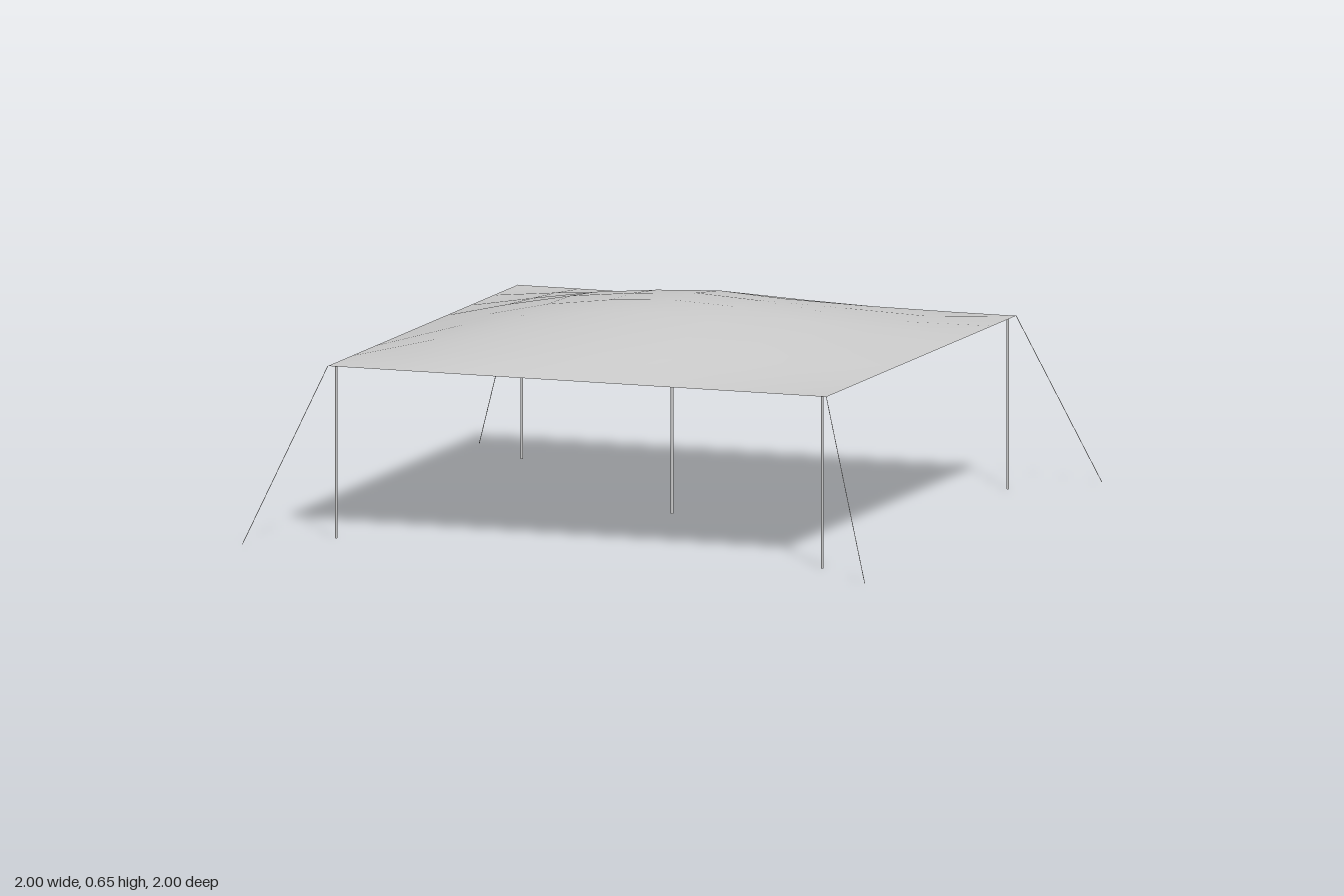
import * as THREE from 'three';

const HALF = 0.8;      // half width of the canopy
const EDGE_Y = 0.525;  // height of the canopy rim
const RISE = 0.125;    // extra height at the middle

const grey = new THREE.MeshStandardMaterial({ color: 0xcccccc });
const cloth = new THREE.MeshStandardMaterial({ color: 0xcccccc, side: THREE.DoubleSide });

// Sagging dome that meets the rim level, with faint wrinkles in the cloth
function canopyHeight(x, z) {
  const dome = Math.cos((Math.PI * x) / (2 * HALF)) * Math.cos((Math.PI * z) / (2 * HALF));
  const inside = Math.min(1, (HALF - Math.max(Math.abs(x), Math.abs(z))) * 5);
  const centre = Math.min(1, Math.hypot(x, z) * 5);
  const wrinkle = 0.004 * Math.sin(9 * x + 5 * z + 1) * Math.cos(7 * z - 4 * x);
  return EDGE_Y + RISE * dome + wrinkle * inside * centre;
}

function makeCanopy() {
  const geometry = new THREE.PlaneGeometry(2 * HALF, 2 * HALF, 8, 8).rotateX(-Math.PI / 2);
  const p = geometry.attributes.position;
  for (let i = 0; i < p.count; i++) p.setY(i, canopyHeight(p.getX(i), p.getZ(i)));
  geometry.computeVertexNormals();
  const mesh = new THREE.Mesh(geometry, cloth);
  mesh.name = 'canopy';
  return mesh;
}

// Straight round bar between two points
function bar(name, from, to, radius, sides) {
  const along = to.clone().sub(from);
  const mesh = new THREE.Mesh(new THREE.CylinderGeometry(radius, radius, along.length(), sides), grey);
  mesh.position.copy(from).add(to).multiplyScalar(0.5);
  mesh.quaternion.setFromUnitVectors(new THREE.Vector3(0, 1, 0), along.normalize());
  mesh.name = name;
  return mesh;
}

export function createModel() {
  const group = new THREE.Group();
  group.name = 'shadeCanopy';
  const v = (x, y, z) => new THREE.Vector3(x, y, z);

  group.add(makeCanopy());
  group.add(bar('centrePole', v(0, 0, 0), v(0, EDGE_Y + RISE - 0.005, 0), 0.005, 8));

  // Corner poles and the guy lines that hold them
  for (const sx of [-1, 1]) {
    for (const sz of [-1, 1]) {
      const corner = (sz > 0 ? 'front' : 'back') + (sx > 0 ? 'Left' : 'Right');
      group.add(bar(corner + 'Pole', v(sx * 0.78, 0, sz * 0.78), v(sx * 0.78, EDGE_Y, sz * 0.78), 0.004, 8));
      group.add(bar(corner + 'GuyLine', v(sx * HALF, EDGE_Y, sz * HALF), v(sx * 0.999, 0.001, sz * 0.999), 0.001, 5));
    }
  }
  return group;
}
